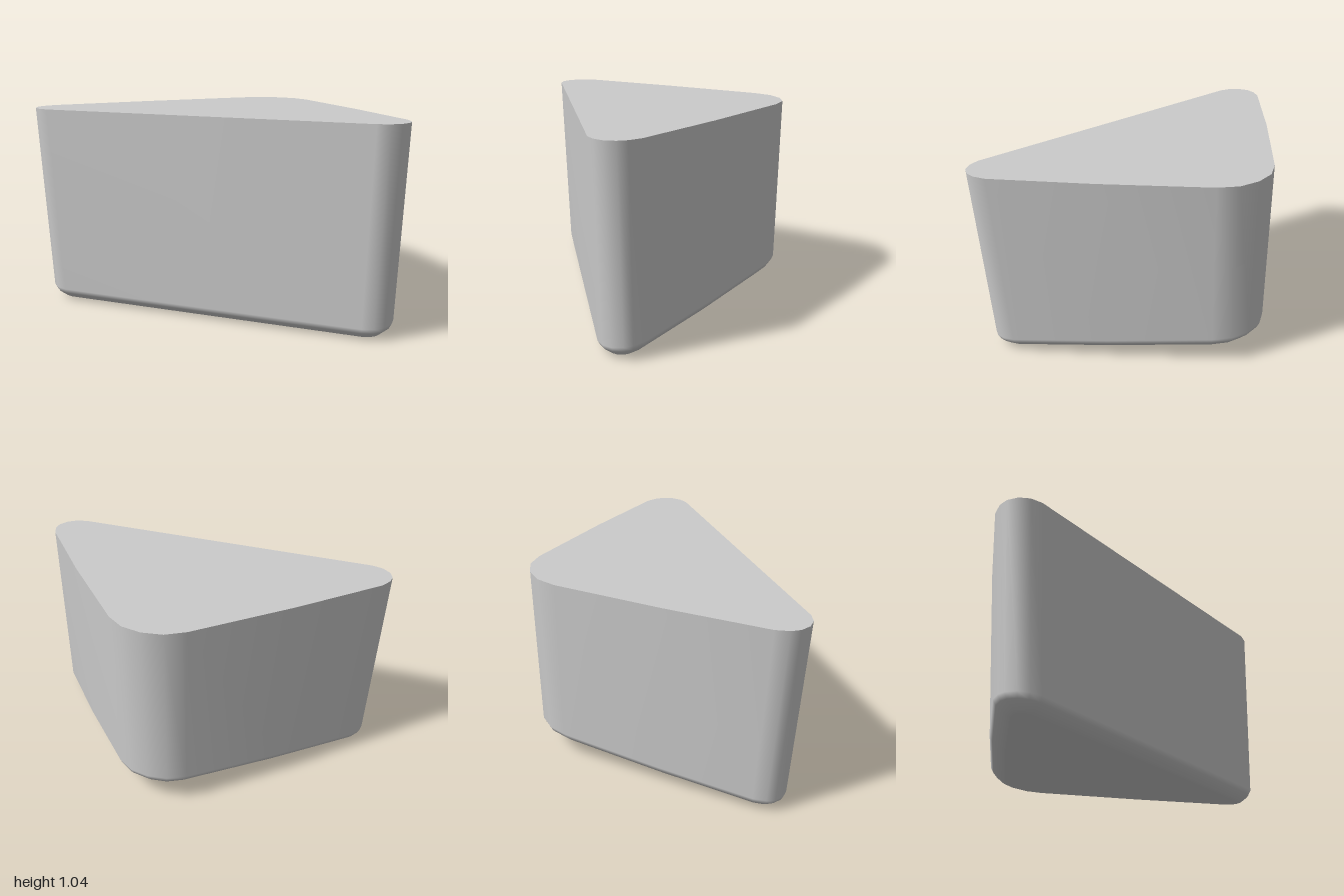
import * as THREE from 'three';

// Half of the rounded triangular outline (x, z), from the back corner to the front edge
const half = [
  [0, -0.572], [0.11, -0.552], [0.205, -0.487], [0.61, -0.06], [0.965, 0.345],
  [0.995, 0.41], [0.998, 0.46], [0.975, 0.515], [0.93, 0.553], [0.87, 0.57],
];
const outline = [...half, ...half.slice(1).reverse().map(([x, z]) => [-x, z])];
const N = outline.length;

// Move every outline point inwards by a fixed distance
function inset(points, d) {
  return points.map(([x, z], i) => {
    const p = points[(i + N - 1) % N], q = points[(i + 1) % N];
    const a = new THREE.Vector2(p[1] - z, x - p[0]).normalize();
    const b = new THREE.Vector2(z - q[1], q[0] - x).normalize();
    const n = a.clone().add(b).normalize();
    const k = d / n.dot(a);
    return [x + n.x * k, z + n.y * k];
  });
}

function makeGeometry(positions, index) {
  const g = new THREE.BufferGeometry();
  g.setAttribute('position', new THREE.Float32BufferAttribute(positions, 3));
  g.setIndex(index);
  g.computeVertexNormals();
  return g;
}

// Flat fan closing one ring
function cap(ring, centre, up) {
  const index = [];
  for (let i = 0; i < N; i++) {
    const j = (i + 1) % N;
    index.push(N, up ? j : i, up ? i : j);
  }
  return makeGeometry([...ring, centre].flat(), index);
}

export function createModel() {
  const group = new THREE.Group();
  const material = new THREE.MeshStandardMaterial({ color: 0xcccccc });
  const add = (name, geometry) => {
    const mesh = new THREE.Mesh(geometry, material);
    mesh.name = name;
    group.add(mesh);
  };

  // Sloping underside, and the tapered outline just above it
  const floorY = (z) => 0.042 - 0.0895 * z;
  const lower = outline.map(([x, z]) => [x * 0.945, z * 0.956]);

  // Rings from the flat top down through the rounded bottom edge
  const rings = [outline.map(([x, z]) => [x, 1.04, z])];
  for (const [d, h] of [[0, 0.07], [0.014, 0.043], [0.055, 0.008], [0.08, 0]]) {
    rings.push(inset(lower, d).map(([x, z]) => [x, floorY(z) + h, z]));
  }

  // Smooth side walls with the rounded lower edge
  const index = [];
  for (let r = 0; r < rings.length - 1; r++) {
    for (let i = 0; i < N; i++) {
      const j = (i + 1) % N;
      const a = r * N + i, b = r * N + j, c = a + N, d = b + N;
      index.push(a, b, c, b, d, c);
    }
  }
  add('sideWalls', makeGeometry(rings.flat(2), index));

  // Flat faces
  add('topFace', cap(rings[0], [0, 1.04, 0.1], true));
  add('slopedBottom', cap(rings[rings.length - 1], [0, floorY(0.1), 0.1], false));

  return group;
}
